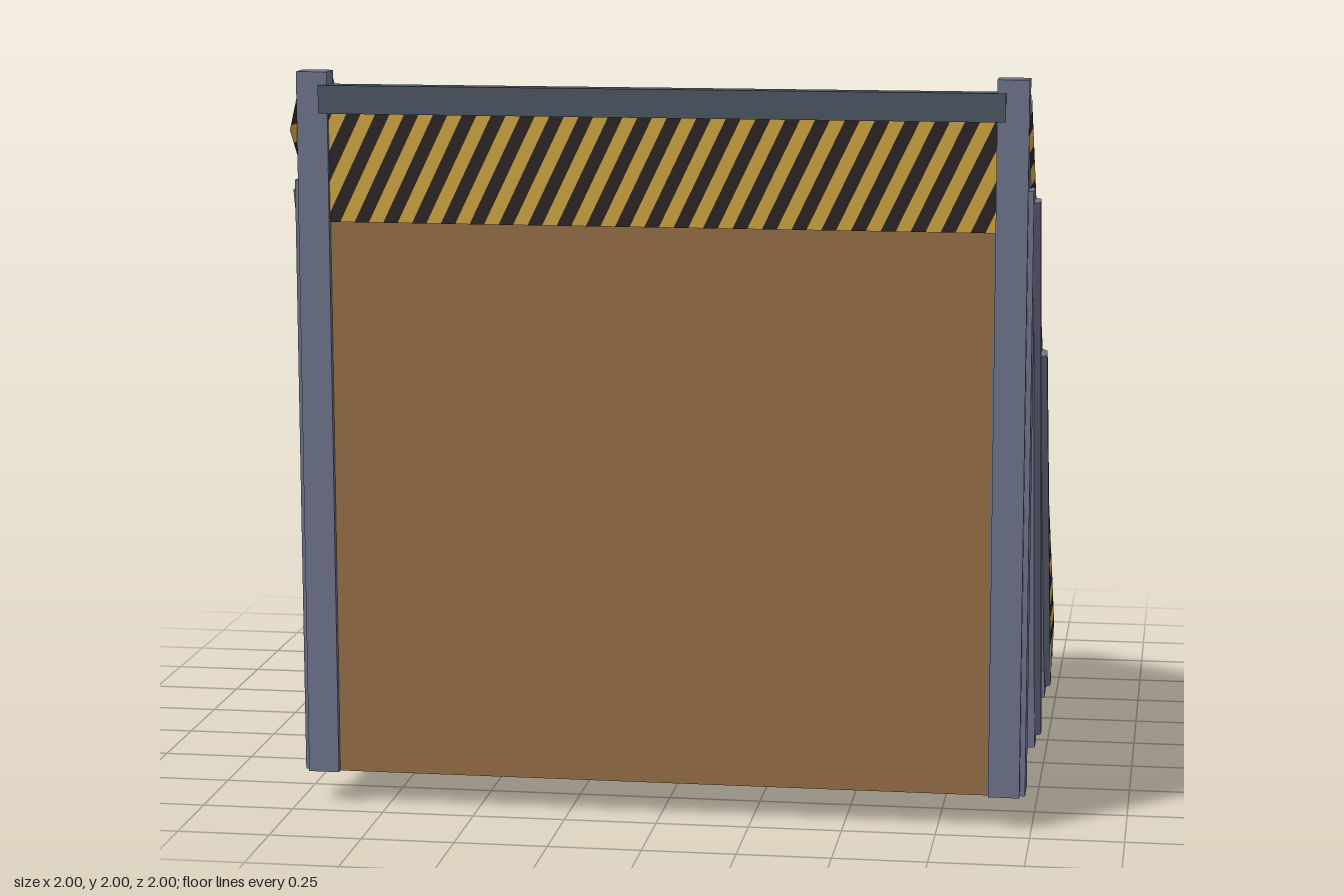
import * as THREE from 'three';
import { mergeGeometries } from 'three/addons/utils/BufferGeometryUtils.js';

const mat = (name, color, side = THREE.FrontSide) => {
  const m = new THREE.MeshStandardMaterial({ color, side });
  m.name = name;
  return m;
};

const SLOPE = 0.965;
const BASE = 0.09;
const deckY = z => 0.12 + (z + 0.94) * SLOPE;

const shapeOf = pts => new THREE.Shape(pts.map(p => new THREE.Vector2(p[0], p[1])));

// Side profile given as [z, y] points, extruded from x0 to x1
function profile(pts, x0, x1) {
  const g = new THREE.ExtrudeGeometry(shapeOf(pts), { depth: x1 - x0, bevelEnabled: false });
  return g.rotateY(-Math.PI / 2).translate(x1, 0, 0);
}

// Box given by its limits
function block(x0, x1, y0, y1, z0, z1) {
  return new THREE.BoxGeometry(x1 - x0, y1 - y0, z1 - z0)
    .translate((x0 + x1) / 2, (y0 + y1) / 2, (z0 + z1) / 2);
}

// Keep the part of a convex polygon where sign * (f(p) - limit) >= 0
function clip(poly, f, limit, sign) {
  const out = [];
  poly.forEach((a, i) => {
    const b = poly[(i + 1) % poly.length];
    const da = sign * (f(a) - limit), db = sign * (f(b) - limit);
    if (da >= 0) out.push(a);
    if (da * db < 0) {
      const t = da / (da - db);
      out.push([a[0] + (b[0] - a[0]) * t, a[1] + (b[1] - a[1]) * t]);
    }
  });
  return out;
}

// Cut a convex polygon into alternating bands of width w; returns [even, odd]
function stripes(poly, f, w) {
  const sets = [[], []];
  const vals = poly.map(f);
  const first = Math.floor(Math.min(...vals) / w), last = Math.ceil(Math.max(...vals) / w);
  for (let i = first; i < last; i++) {
    const band = clip(clip(poly, f, i * w, 1), f, (i + 1) * w, -1);
    if (band.length > 2) sets[Math.abs(i % 2)].push(new THREE.ShapeGeometry(shapeOf(band)));
  }
  return sets.map(s => mergeGeometries(s));
}

export function createModel() {
  const model = new THREE.Group();
  model.name = 'ramp';
  const wood = mat('brown board', 0x956e45);
  const steel = mat('slate steel', 0x6d738b);
  const dark = mat('dark steel', 0x4b5560);
  const orange = mat('orange paint', 0xdc9d2f);
  const yellow = mat('yellow paint', 0xdab245);
  const hazardYellow = mat('hazard yellow', 0xcfa540, THREE.DoubleSide);
  const hazardBlack = mat('hazard black', 0x2b2222, THREE.DoubleSide);

  const add = (name, geometry, material, parent = model) => {
    const mesh = new THREE.Mesh(geometry, material);
    mesh.name = name;
    parent.add(mesh);
    return mesh;
  };

  // Wedge body with sloping deck
  add('body', profile([[-0.94, BASE], [0.92, BASE], [0.92, deckY(0.92)], [-0.94, deckY(-0.94)]], -0.89, 0.89), wood);

  // Painted strip at the low edge
  add('entryStrip', profile([
    [-0.942, BASE + 0.01], [-0.94, deckY(-0.94)], [-0.79, deckY(-0.79)],
    [-0.79, deckY(-0.79) + 0.007], [-0.942, deckY(-0.94) + 0.007],
  ], -0.89, 0.89), orange);

  // Beam across the high edge
  add('topBeam', block(-0.908, 0.908, 1.89, 1.965, 0.89, 0.945), dark);

  // Raised chevrons, drawn in plan and laid onto the slope
  const lay = new THREE.Matrix4().makeBasis(
    new THREE.Vector3(1, 0, 0), new THREE.Vector3(0, 0.71, -0.7), new THREE.Vector3(0, SLOPE, 1));
  for (let i = 0; i < 3; i++) {
    const tip = -0.4 + i * 0.48;
    const plan = [[0, 0], [0.39, 0.21], [0.39, 0.32], [0, 0.11], [-0.39, 0.32], [-0.39, 0.21]];
    const g = new THREE.ExtrudeGeometry(shapeOf(plan), { depth: 0.02, bevelEnabled: false });
    g.rotateX(-Math.PI / 2).applyMatrix4(lay).translate(0, deckY(tip), tip);
    add('chevron', g, yellow);
  }

  // Diagonal striped band on the high face
  const front = stripes([[-0.89, 1.6], [0.89, 1.6], [0.89, 1.89], [-0.89, 1.89]],
    p => p[0] - 0.48 * (p[1] - 1.6), 0.039);
  front.forEach((g, i) => add('frontHazardBand', g.translate(0, 0, 0.925), i ? hazardBlack : hazardYellow));

  for (const s of [1, -1]) {
    const side = new THREE.Group();
    side.name = s > 0 ? 'leftSide' : 'rightSide';
    model.add(side);
    const span = (a, b) => (s > 0 ? [a, b] : [-b, -a]);

    // Wall, sloping rail and corner post
    add('sidePanel', profile([[-0.93, BASE], [0.92, BASE], [0.92, 1.88], [-0.93, 0.12]], ...span(0.88, 0.955)), steel);
    add('rail', profile([[-0.94, BASE], [-0.86, BASE], [0.9, 1.82], [0.9, 2], [0.87, 2], [-0.94, 0.22]],
      ...span(0.89, 0.965)), steel);
    add('cornerPost', block(...span(0.885, 0.968), BASE, 2, 0.868, 0.938), steel);

    // Uprights
    for (const [z, top] of [[0.87, 1.71], [0.375, 1.23], [-0.185, 0.675]]) {
      add('upright', block(...span(0.94, 0.982), BASE, top, z - 0.045, z + 0.045), steel);
    }

    // Diagonal braces
    for (const [z0, y0, z1, y1] of [[0.86, 1.68, 0.38, 0.125], [0.365, 1.2, -0.185, 0.125]]) {
      const a = new THREE.Vector3(s * 0.98, y0, z0), b = new THREE.Vector3(s * 0.98, y1, z1);
      const dir = a.clone().sub(b);
      const geo = new THREE.CylinderGeometry(0.021, 0.021, dir.length(), 6).toNonIndexed();
      geo.computeVertexNormals();
      const brace = add('brace', geo, steel, side);
      brace.position.copy(a).add(b).multiplyScalar(0.5);
      brace.quaternion.setFromUnitVectors(new THREE.Vector3(0, 1, 0), dir.normalize());
    }

    // Striped band along the slope
    const band = stripes([[1, 1.85], [-0.88, 0], [-1, 0.12], [0.89, 1.965]], p => p[1], 0.049);
    band.forEach((g, i) => add('sideHazardBand', g.rotateY(-Math.PI / 2).translate(s * 0.971, 0, 0),
      i ? hazardYellow : hazardBlack, side));
  }
  return model;
}
